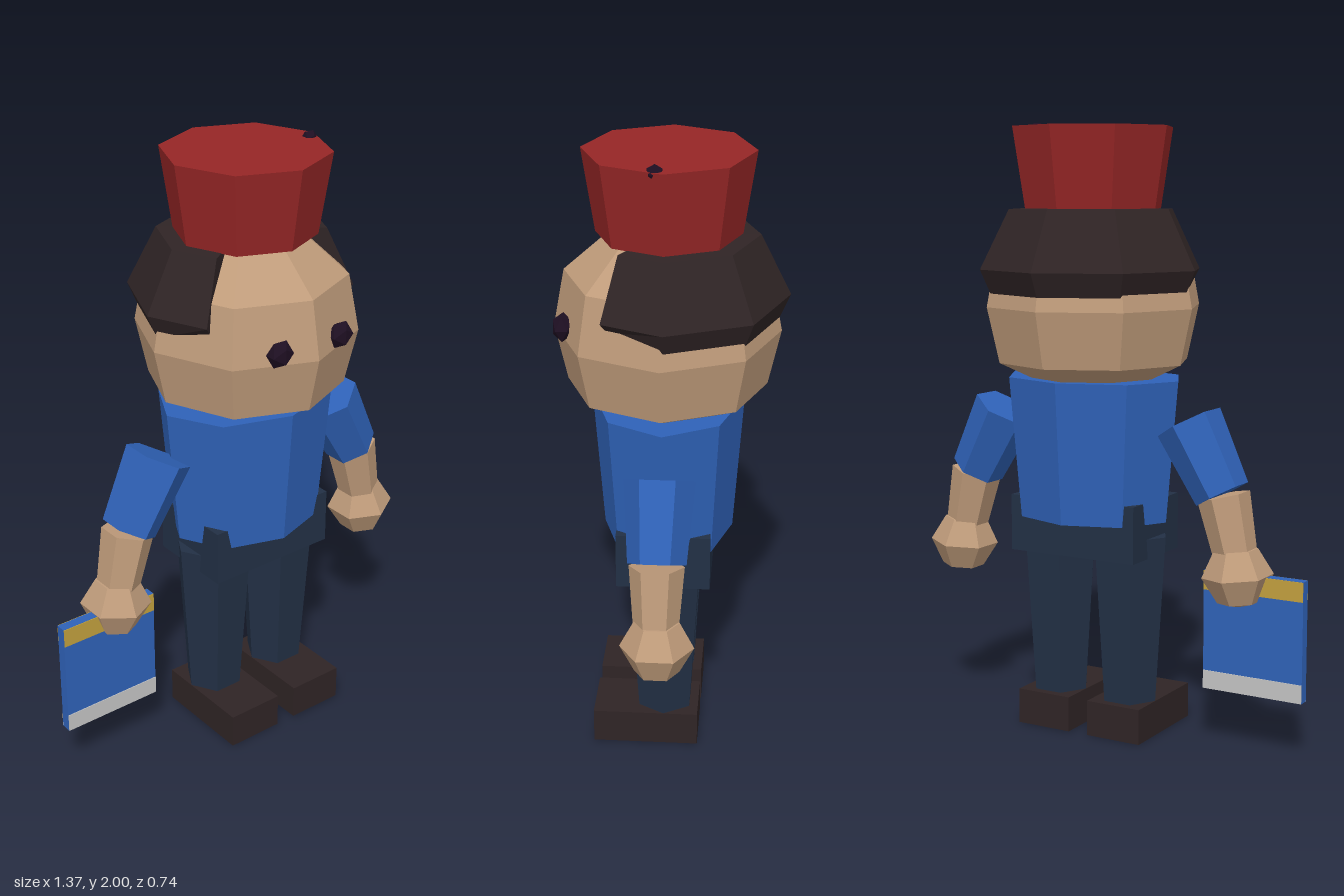
import * as THREE from 'three';

const CX = 0.06; // the figure's own centre line

function material(name, color) {
  return new THREE.MeshStandardMaterial({ name, color, flatShading: true });
}

export function createModel() {
  const model = new THREE.Group();
  model.name = 'figure';
  const red = material('red', 0x962626);
  const skin = material('skin', 0xc09c7b);
  const brown = material('dark brown', 0x2f2425);
  brown.side = THREE.DoubleSide;
  const blue = material('blue', 0x2f62b8);
  const navy = material('navy', 0x223045);
  const black = material('black', 0x1e0f22);
  const yellow = material('yellow', 0xc2a03e);
  const grey = material('light grey', 0xc4c4c4);

  function add(name, geometry, mat, x = 0, y = 0, z = 0) {
    const mesh = new THREE.Mesh(geometry, mat);
    mesh.name = name;
    mesh.position.set(x, y, z);
    model.add(mesh);
    return mesh;
  }
  const box = (w, h, d) => new THREE.BoxGeometry(w, h, d);
  const lathe = (pts, sides) =>
    new THREE.LatheGeometry(pts.map(([r, y]) => new THREE.Vector2(r, y)), sides);

  // tapered six-sided limb from a (top) to b (bottom)
  function limb(name, a, b, rTop, rBottom, mat) {
    const top = new THREE.Vector3(...a), bottom = new THREE.Vector3(...b);
    const axis = top.clone().sub(bottom);
    const mesh = add(name, new THREE.CylinderGeometry(rTop, rBottom, axis.length(), 6), mat);
    mesh.position.copy(top).add(bottom).multiplyScalar(0.5);
    mesh.quaternion.setFromUnitVectors(new THREE.Vector3(0, 1, 0), axis.normalize());
    return mesh;
  }

  // head
  add('head', lathe([[0, 1.17], [0.2, 1.175], [0.315, 1.23], [0.355, 1.41],
    [0.32, 1.595], [0.19, 1.71], [0, 1.715]], 8), skin, CX, 0, 0.01);

  // hair: closed section swept round the back of the head, open at the face
  const section = [[0.27, 1.48], [0.335, 1.45], [0.37, 1.53], [0.275, 1.72], [0, 1.73]];
  const half = [[0.78, 0.51], [1, 0], [0.707, -0.707]];
  const sweep = [...half, [0, -1], ...half.map(([x, z]) => [-x, z]).reverse()];
  const n = section.length;
  const verts = [], index = [];
  sweep.forEach(([dx, dz], i) => {
    const end = i === 0 || i === sweep.length - 1;
    section.forEach(([r, y], j) => verts.push(dx * r, y + (end && j < 2 ? 0.045 : 0), dz * r));
    if (i === sweep.length - 1) return;
    for (let j = 0; j < n - 1; j++) {
      const a = i * n + j, b = a + n;
      index.push(a, b, b + 1, a, b + 1, a + 1);
    }
  });
  const last = (sweep.length - 1) * n;
  for (let j = 1; j < n - 1; j++) {
    index.push(0, j, j + 1, last, last + j + 1, last + j);
  }
  const hair = new THREE.BufferGeometry();
  hair.setAttribute('position', new THREE.Float32BufferAttribute(verts, 3));
  hair.setIndex(index);
  hair.computeVertexNormals();
  add('hair', hair, brown, CX, 0, 0);

  // hat and its tassel knob
  add('hat', new THREE.CylinderGeometry(0.265, 0.225, 0.26, 8), red, CX, 1.85, 0.005);
  add('hatTassel', new THREE.IcosahedronGeometry(0.027, 0), black, 0.29, 1.973, 0.03);

  // torso and belt
  const torso = add('torso', new THREE.CylinderGeometry(0.31, 0.268, 0.46, 8), blue, CX, 0.95, 0.007);
  torso.scale.z = 0.78;
  add('hips', box(0.46, 0.185, 0.3), navy, CX, 0.6975, 0.01);

  for (const s of [-1, 1]) {
    const side = s > 0 ? 'left' : 'right';
    const at = (x, y) => [CX + s * x, y, 0.01];

    const eye = add(side + 'Eye', new THREE.IcosahedronGeometry(0.046, 0), black, CX + s * 0.118, 1.45, 0.322);
    eye.scale.z = 0.75;

    // arm
    limb(side + 'Sleeve', at(0.347, 1.053), at(0.467, 0.832), 0.109, 0.09, blue);
    limb(side + 'Forearm', at(0.472, 0.828), at(0.525, 0.6), 0.085, 0.067, skin);
    const hand = add(side + 'Hand', lathe([[0, -0.105], [0.07, -0.088], [0.115, -0.005],
      [0.07, 0.08], [0, 0.085]], 6), skin, CX + s * 0.525, 0.58, 0.007);
    hand.rotation.z = s * 0.08;

    // leg and shoe
    const leg = add(side + 'Leg', new THREE.CylinderGeometry(0.133, 0.096, 0.56, 6), navy, CX + s * 0.133, 0.39, 0.01);
    leg.rotation.y = Math.PI / 2;
    add(side + 'Shoe', box(0.195, 0.117, 0.345), brown, CX + s * 0.133, 0.0585, 0.07);
  }

  // book held in the right hand, with bands on both covers
  const bx = -0.517, bz = 0.028;
  add('book', box(0.345, 0.39, 0.034), blue, bx, 0.385, bz);
  for (const s of [-1, 1]) {
    const z = bz + s * 0.0175;
    const face = s > 0 ? 'Front' : 'Back';
    add('bookTopBand' + face, box(0.344, 0.063, 0.004), yellow, bx, 0.548, z);
    add('bookBottomBand' + face, box(0.344, 0.06, 0.004), grey, bx, 0.2205, z);
  }
  return model;
}
